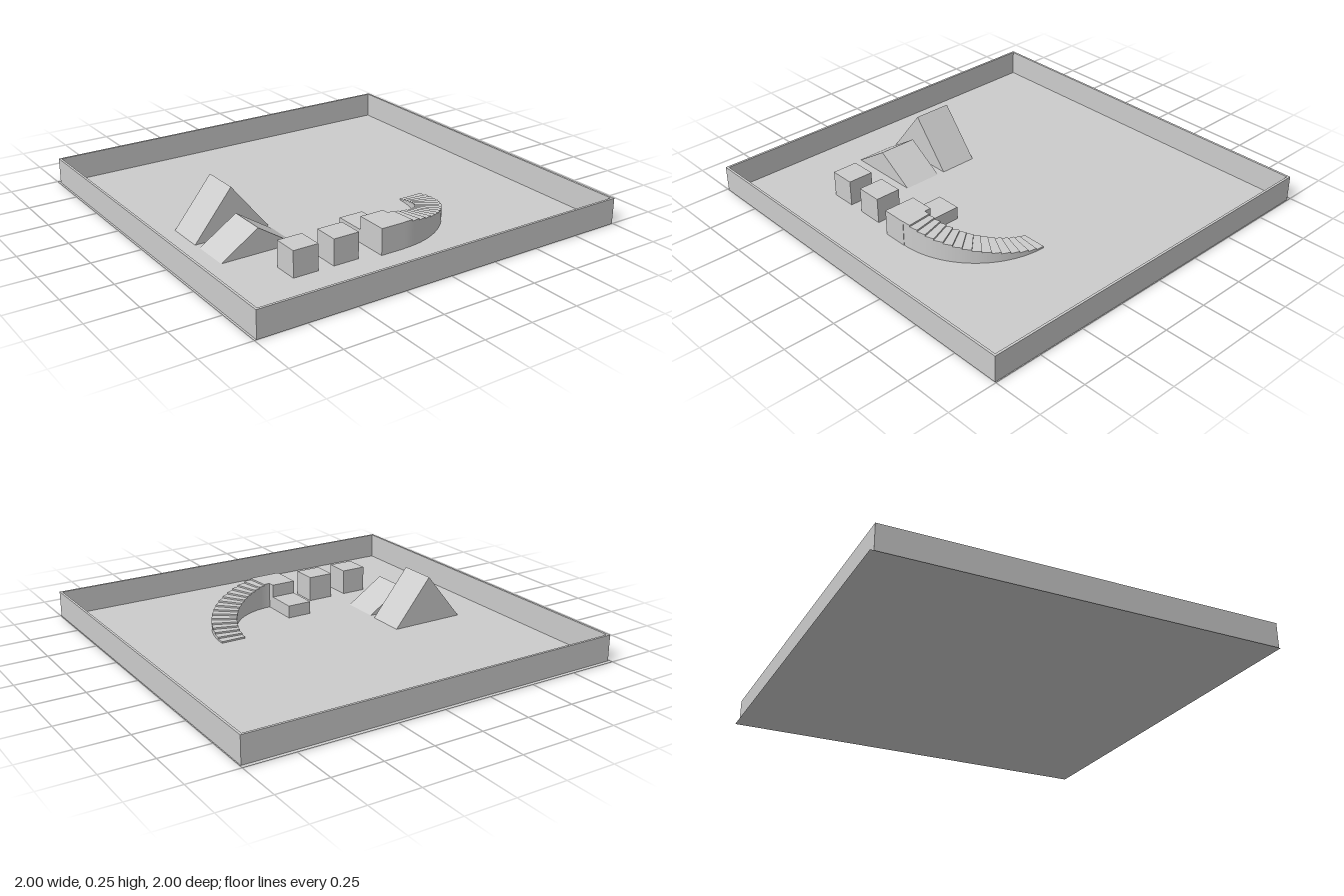
import * as THREE from 'three';

const material = new THREE.MeshStandardMaterial({ color: 0xcccccc, flatShading: true, side: THREE.DoubleSide });

export function createModel() {
  const group = new THREE.Group();
  const wallHeight = 0.133;

  const add = (name, geometry, parent = group) => {
    const mesh = new THREE.Mesh(geometry, material);
    mesh.name = name;
    parent.add(mesh);
    return mesh;
  };

  // Box given by its extents, standing on the floor
  const block = (name, x0, x1, z0, z1, height) => {
    const geometry = new THREE.BoxGeometry(x1 - x0, height, z1 - z0);
    geometry.translate((x0 + x1) / 2, height / 2, (z0 + z1) / 2);
    return add(name, geometry);
  };

  // Floor sheet
  add('floor', new THREE.PlaneGeometry(2, 2).rotateX(-Math.PI / 2));

  // Perimeter walls
  block('leftWall', 0.983, 0.995, -0.98, 1, wallHeight);
  block('rightWall', -0.99, -0.978, -0.98, 1, wallHeight);
  block('frontWall', -0.99, 0.995, 0.988, 1, wallHeight);
  block('backWall', -0.99, 0.995, -0.98, -0.968, wallHeight);

  // Double-sided ramps: triangular prisms with the ridge along z
  const ramp = (name, halfWidth, height, z0, z1) => {
    const shape = new THREE.Shape();
    shape.moveTo(-halfWidth, 0);
    shape.lineTo(halfWidth, 0);
    shape.lineTo(0, height);
    shape.closePath();
    const geometry = new THREE.ExtrudeGeometry(shape, { depth: z1 - z0, bevelEnabled: false });
    add(name, geometry).position.set(-0.578, 0, z0);
  };
  ramp('steepRamp', 0.198, 0.245, -0.105, 0.095);
  ramp('shallowRamp', 0.195, 0.127, 0.133, 0.333);

  // Loose cubes
  block('outerCube', -0.583, -0.452, 0.5, 0.632, 0.132);
  block('innerCube', -0.37, -0.235, 0.5, 0.632, 0.132);

  // Landing at the head of the stairs, with a lower step behind it
  block('landing', -0.13, 0, 0.497, 0.664, 0.133);
  block('lowStep', -0.13, 0, 0.331, 0.497, 0.066);

  // Curved stairs: solid ring sectors rising a quarter turn to the landing
  const stairs = new THREE.Group();
  stairs.name = 'curvedStairs';
  stairs.position.z = 0.2;
  group.add(stairs);
  const steps = 16;
  const stepAngle = Math.PI / 2 / steps;
  for (let i = 0; i < steps; i++) {
    const a = i * stepAngle;
    const b = a + stepAngle;
    const height = (0.133 * (i + 1)) / steps;
    const shape = new THREE.Shape();
    shape.absarc(0, 0, 0.462, a, b, false);
    shape.absarc(0, 0, 0.332, b, a, true);
    shape.closePath();
    const geometry = new THREE.ExtrudeGeometry(shape, { depth: height, bevelEnabled: false, curveSegments: 2 });
    geometry.rotateX(Math.PI / 2);
    geometry.translate(0, height, 0);
    add('stairStep', geometry, stairs);
  }

  return group;
}
